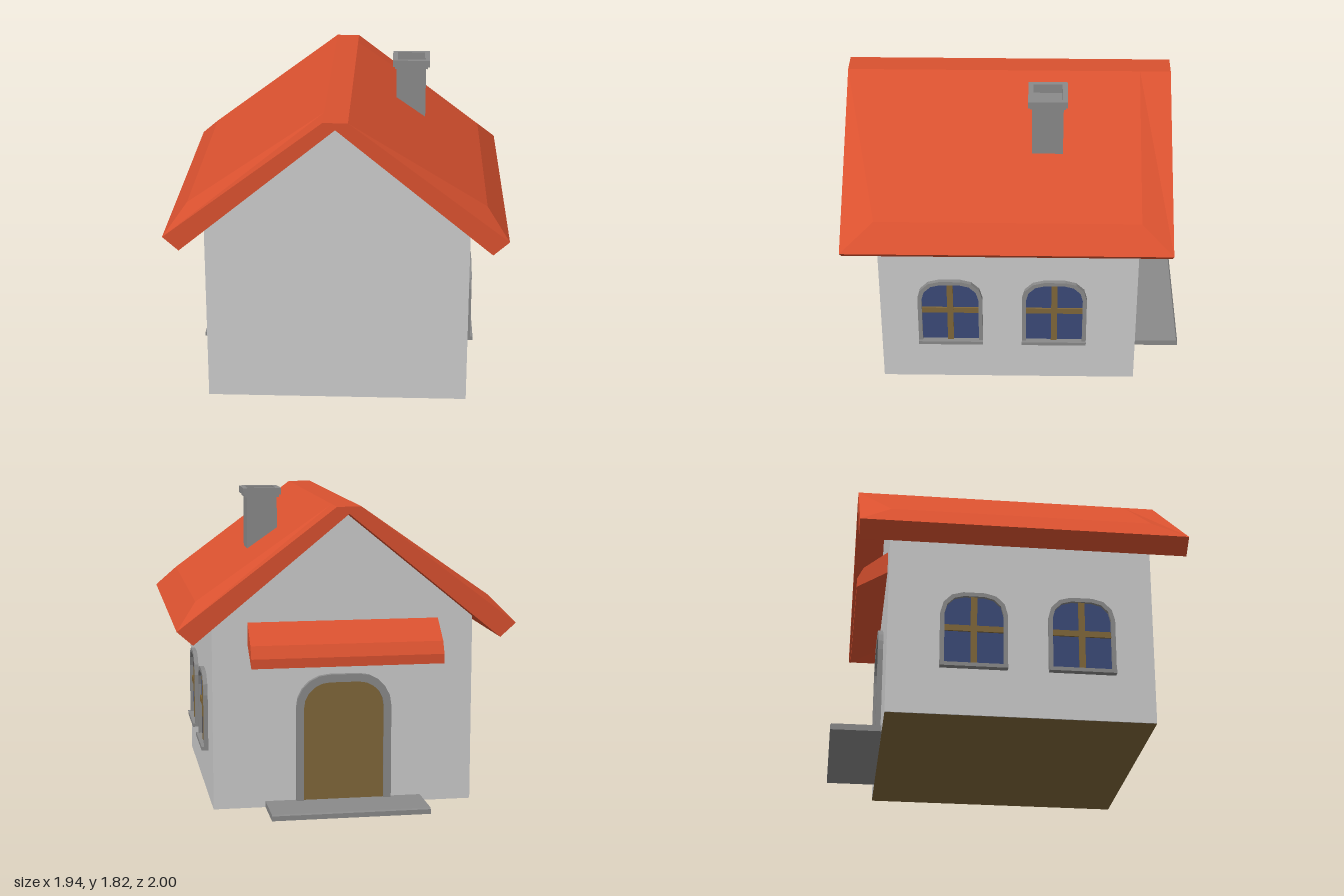
import * as THREE from 'three';

const mat = (color) => new THREE.MeshStandardMaterial({ color, flatShading: true });
const wallMat = mat(0xcccccc);
const stoneMat = mat(0x8a8a8a);
const roofMat = mat(0xd9512f);
const woodMat = mat(0x80673a);
const glassMat = mat(0x3b4a78);

function add(parent, name, geometry, material, x = 0, y = 0, z = 0) {
  const mesh = new THREE.Mesh(geometry, material);
  mesh.name = name;
  mesh.position.set(x, y, z);
  parent.add(mesh);
  return mesh;
}

const polygon = (pts) => new THREE.Shape(pts.map(([x, y]) => new THREE.Vector2(x, y)));
const extrude = (shape, depth) => new THREE.ExtrudeGeometry(shape, { depth, bevelEnabled: false });

// Upright outline with two rounded top corners
function archPoints(half, bottom, top, r, segments) {
  const pts = [[-half, bottom], [half, bottom]];
  for (const side of [0, 1]) {
    for (let i = 0; i <= segments; i++) {
      const a = (side + i / segments) * Math.PI / 2;
      const cx = side ? r - half : half - r;
      pts.push([cx + r * Math.cos(a), top - r + r * Math.sin(a)]);
    }
  }
  return pts;
}

// Arched surround with an arched opening
function archFrame(outer, inner, depth) {
  const shape = polygon(outer);
  shape.holes.push(polygon(inner));
  return extrude(shape, depth);
}

// Gabled roof with raised main panels and sloping margins
function roofGeometry() {
  const front = 1, back = -0.89, inFront = 0.81, inBack = -0.71;
  const top = [0, 1.76], ridge = [0.07, 1.76], crease = [0.85, 1.22];
  const eave = [0.97, 1.08], lower = [0.88, 1.0], apex = [0, 1.72];
  const pos = [];
  for (const s of [1, -1]) {
    const face = (...corners) => {
      const c = s > 0 ? corners : corners.reverse();
      for (let i = 1; i < c.length - 1; i++) {
        for (const [p, z] of [c[0], c[i], c[i + 1]]) pos.push(s * p[0], p[1], z);
      }
    };
    const strip = (a, b, za, zb, zc = zb, zd = za) => face([a, za], [b, zb], [b, zc], [a, zd]);
    strip(top, ridge, front, front, back, back);
    strip(ridge, crease, inFront, inFront, inBack, inBack);
    strip(crease, eave, inFront, front, back, inBack);
    strip(eave, lower, front, front, back, back);
    strip(lower, apex, front, front, back, back);
    // sloping margins along the gables
    face([ridge, front], [eave, front], [crease, inFront], [ridge, inFront]);
    face([ridge, inBack], [crease, inBack], [eave, back], [ridge, back]);
    // gable ends
    const end = [apex, lower, eave, ridge, top];
    face(...end.map((p) => [p, front]));
    face(...end.map((p) => [p, back]).reverse());
  }
  const g = new THREE.BufferGeometry();
  g.setAttribute('position', new THREE.Float32BufferAttribute(pos, 3));
  g.computeVertexNormals();
  return g;
}

// Arched window facing +z, with cross bars and a sill
function createWindow() {
  const w = new THREE.Group();
  w.name = 'window';
  const outer = archPoints(0.192, 0.28, 0.742, 0.13, 3);
  const inner = archPoints(0.168, 0.3, 0.718, 0.11, 3);
  add(w, 'windowFrame', archFrame(outer, inner, 0.035), stoneMat, 0, 0, -0.01);
  add(w, 'windowGlass', extrude(polygon(inner), 0.008), glassMat, 0, 0, -0.003);
  add(w, 'uprightBar', new THREE.BoxGeometry(0.036, 0.42, 0.02), woodMat, 0, 0.509, 0.006);
  add(w, 'crossBar', new THREE.BoxGeometry(0.336, 0.036, 0.018), woodMat, 0, 0.523, 0.006);
  add(w, 'windowSill', new THREE.BoxGeometry(0.384, 0.022, 0.05), stoneMat, 0, 0.291, 0.015);
  return w;
}

export function createModel() {
  const house = new THREE.Group();
  house.name = 'house';

  // Walls with gables, and the floor below
  const gable = polygon([[-0.76, 0.002], [0.76, 0.002], [0.76, 1.097], [0, 1.718], [-0.76, 1.097]]);
  add(house, 'walls', extrude(gable, 1.52), wallMat, 0, 0, -0.71);
  add(house, 'floor', new THREE.PlaneGeometry(1.52, 1.52).rotateX(Math.PI / 2), woodMat, 0, 0, 0.05);

  add(house, 'roof', roofGeometry(), roofMat);

  // Chimney with a hollow cap
  const chimney = new THREE.Group();
  chimney.name = 'chimney';
  chimney.position.set(0.412, 0, -0.172);
  add(chimney, 'chimneyStack', new THREE.BoxGeometry(0.178, 0.4, 0.178), stoneMat, 0, 1.565, 0);
  const square = (h) => [[-h, -h], [h, -h], [h, h], [-h, h]];
  const cap = archFrame(square(0.112), square(0.083), 0.04).rotateX(-Math.PI / 2);
  add(chimney, 'chimneyCap', cap, stoneMat, 0, 1.78, 0);
  const collar = archFrame(square(0.1), square(0.083), 0.02).rotateX(-Math.PI / 2);
  add(chimney, 'chimneyCollar', collar, stoneMat, 0, 1.765, 0);
  house.add(chimney);

  // Two windows on each side wall
  for (const side of [1, -1]) {
    for (const z of [0.395, -0.222]) {
      const w = createWindow();
      w.position.set(side * 0.76, 0, z);
      w.rotation.y = side * Math.PI / 2;
      house.add(w);
    }
  }

  // Arched door in the back wall
  const door = new THREE.Group();
  door.name = 'door';
  door.position.z = -0.71;
  door.rotation.y = Math.PI;
  const doorOuter = archPoints(0.278, 0.003, 0.78, 0.19, 5);
  const doorInner = archPoints(0.235, 0.003, 0.735, 0.15, 5);
  add(door, 'doorFrame', archFrame(doorOuter, doorInner, 0.04), stoneMat, 0, 0, -0.01);
  add(door, 'doorPanel', extrude(polygon(doorInner), 0.016), woodMat, 0, 0, -0.006);
  house.add(door);

  // Doorstep with a chamfered upper edge
  const step = polygon([[0.7, 0.002], [1, 0.002], [1, 0.03], [0.992, 0.038], [0.7, 0.038]]);
  add(house, 'doorstep', extrude(step, 0.916).rotateY(Math.PI / 2), stoneMat, -0.458, 0, 0);

  // Sloping canopy over the door
  const canopy = polygon([[0.7, 0.965], [0.885, 0.855], [0.885, 0.91], [0.85, 0.98], [0.7, 1.1]]);
  add(house, 'doorCanopy', extrude(canopy, 1.11).rotateY(Math.PI / 2), roofMat, -0.555, 0, 0);

  return house;
}
